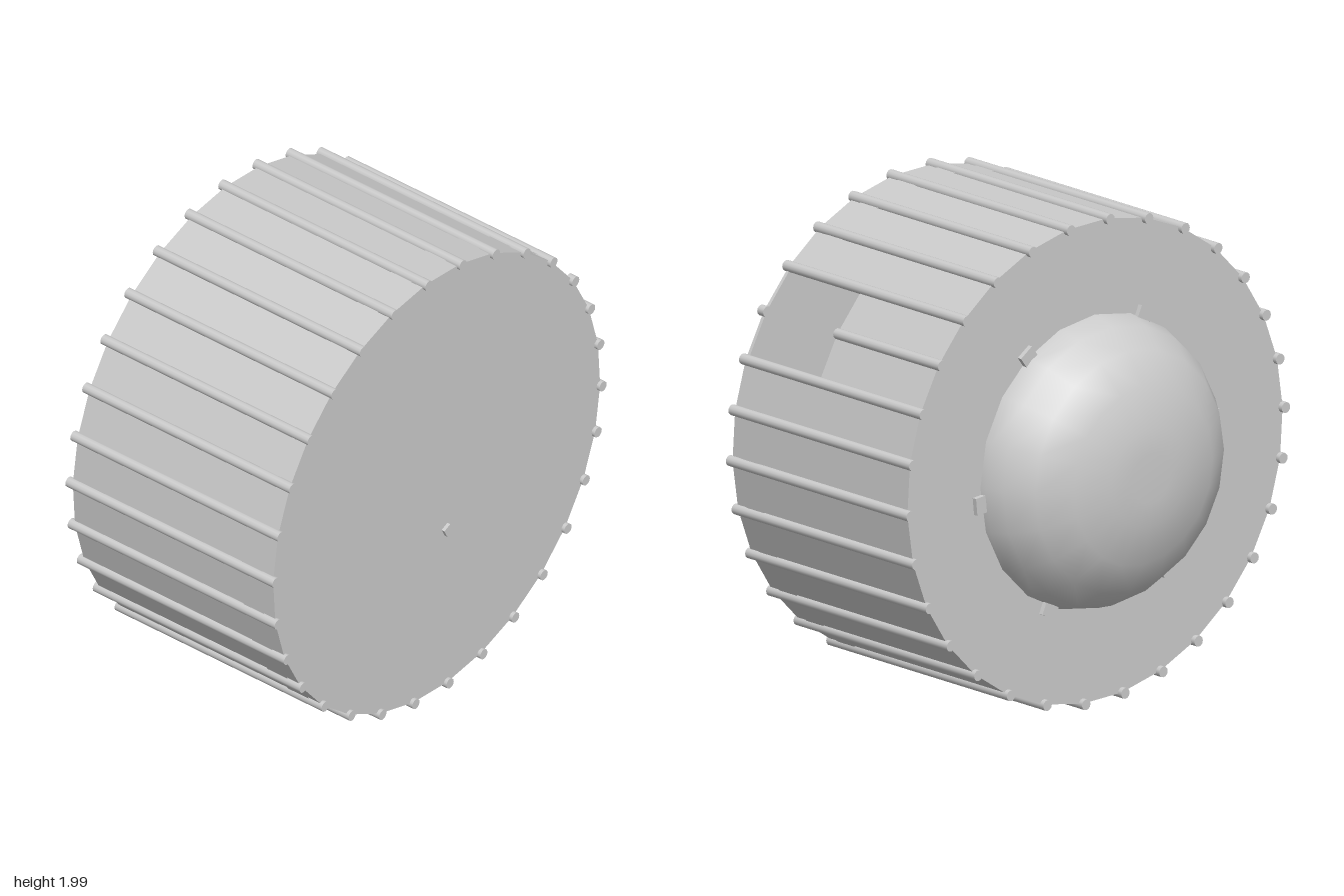
import * as THREE from 'three';

const STEP = Math.PI / 15;           // 30 rods and 30 wall panels
const START = -2.3 * Math.PI / 180;  // angle of the first rod
const R = 0.975, BACK = -0.36, FRONT = 0.675, DOOR = 0.24;

export function createModel() {
  const model = new THREE.Group();
  model.position.y = 1.003;
  const flat = new THREE.MeshStandardMaterial({ color: 0xcccccc, flatShading: true });
  const thin = new THREE.MeshStandardMaterial({ color: 0xcccccc, flatShading: true, side: THREE.DoubleSide });
  const smooth = new THREE.MeshStandardMaterial({ color: 0xcccccc, side: THREE.DoubleSide });

  const add = (name, geometry, material, parent = model) => {
    const mesh = new THREE.Mesh(geometry, material);
    mesh.name = name;
    parent.add(mesh);
    return mesh;
  };
  const group = (name) => {
    const g = new THREE.Group();
    g.name = name;
    model.add(g);
    return g;
  };

  // Cylinder along z from z0 to z1; panels are counted from the first rod
  const drum = (r, z0, z1, first = 0, count = 30, open = true) =>
    new THREE.CylinderGeometry(r, r, z1 - z0, count, 1, open,
      START + Math.PI / 2 + first * STEP, count * STEP)
      .rotateX(Math.PI / 2).translate(0, 0, (z0 + z1) / 2);

  // Hollow drum: the front part of the wall leaves an opening two panels wide
  add('rearWall', drum(R, BACK, DOOR), thin);
  add('frontWall', drum(R, DOOR, FRONT, 4, 28), thin);
  add('wallBand', drum(R + 0.003, 0.515, 0.62, 4, 28), thin);
  add('frontPlate', drum(R, FRONT - 0.015, FRONT, 0, 30, false), flat);
  add('backPlate', drum(R, BACK, BACK + 0.015, 0, 30, false), flat);

  // Rods around the rim; the one across the opening is cut short
  const rods = group('rimRods');
  const rod = (angle, z0, z1) => {
    const g = new THREE.CylinderGeometry(0.022, 0.022, z1 - z0, 12).rotateX(Math.PI / 2);
    add('rimRod', g, smooth, rods)
      .position.set(R * Math.cos(angle), R * Math.sin(angle), (z0 + z1) / 2);
  };
  for (let i = 0; i < 30; i++) {
    const angle = START + i * STEP;
    if (i === 3) {
      rod(angle, -0.38, DOOR);
      rod(angle, 0.655, 0.69);
    } else rod(angle, -0.38, 0.69);
  }

  // Rounded dome on the back
  const profile = [[0.595, 0.36], [0.59, 0.385], [0.565, 0.46], [0.49, 0.565],
    [0.36, 0.645], [0.2, 0.685], [0.1, 0.692], [0, 0.692]]
    .map(([x, y]) => new THREE.Vector2(x, y));
  add('rearDome', new THREE.LatheGeometry(profile, 20).rotateX(-Math.PI / 2), smooth);

  // Small clips holding the dome
  const clips = group('domeClips');
  for (let i = 0; i < 6; i++) {
    const a = (54 + i * 60) * Math.PI / 180;
    const clip = add('domeClip', new THREE.BoxGeometry(0.05, 0.07, 0.03), flat, clips);
    clip.position.set(0.61 * Math.cos(a), 0.61 * Math.sin(a), -0.365);
    clip.rotation.z = a;
  }

  // Square peg on the front plate
  const peg = add('frontPeg', new THREE.BoxGeometry(0.038, 0.038, 0.04), flat);
  peg.position.set(0.055, -0.245, 0.67);
  peg.rotation.z = 0.45;

  return model;
}
